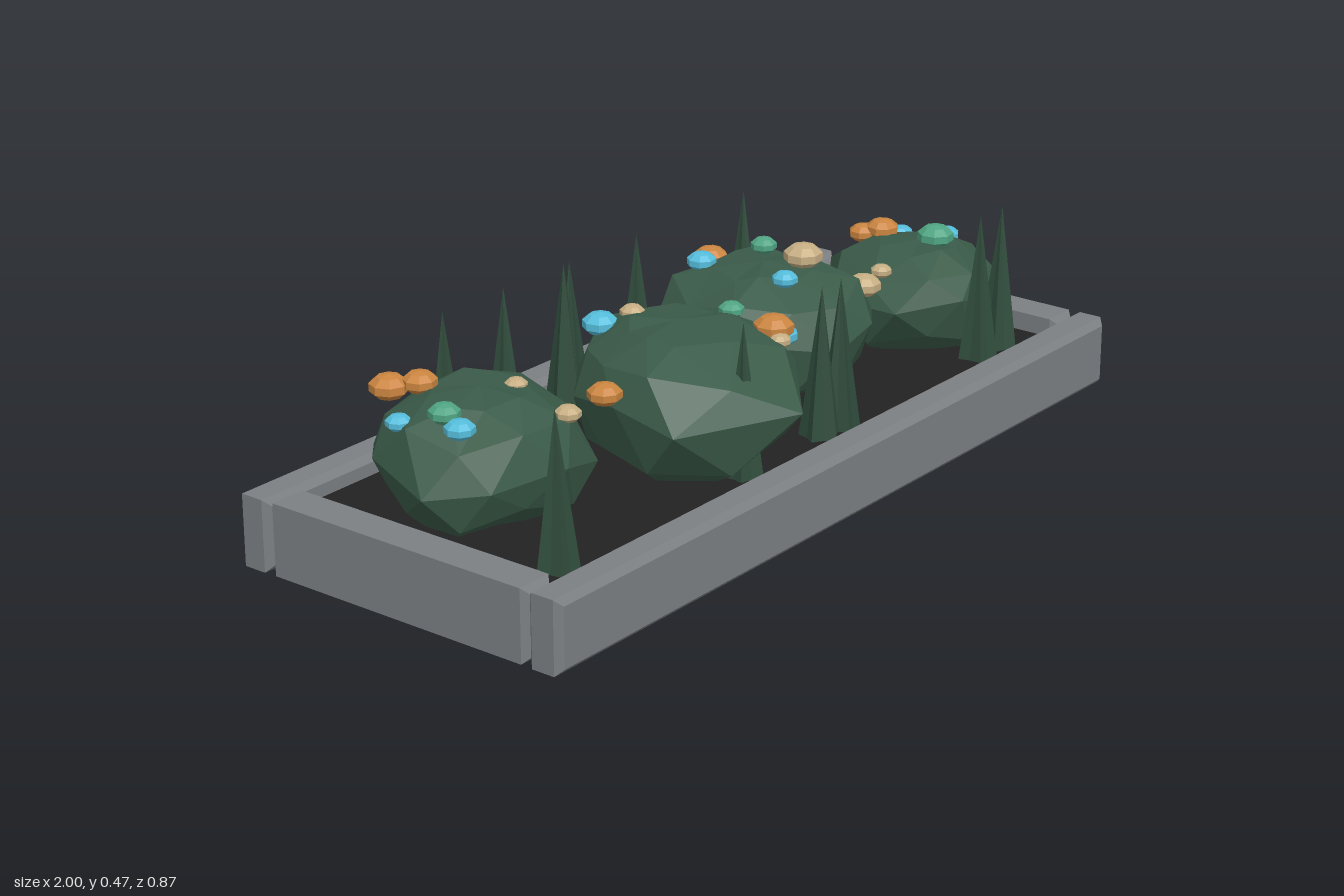
import * as THREE from 'three';

const mat = (name, color) => {
  const m = new THREE.MeshStandardMaterial({ color, flatShading: true });
  m.name = name;
  return m;
};

export function createModel() {
  const stone = mat('stone grey', 0x7b7f82);
  const soilMat = mat('dark soil', 0x222222);
  const leaf = mat('leaf green', 0x3a5a48);
  const blade = mat('dark blade green', 0x304c3c);
  const colours = {
    orange: mat('orange', 0xcb8540),
    blue: mat('sky blue', 0x55bddb),
    green: mat('mint green', 0x50a583),
    tan: mat('tan', 0xc6ae83),
  };

  const root = new THREE.Group();
  root.name = 'planter';
  const add = (geometry, material, name, x = 0, y = 0, z = 0, parent = root) => {
    const mesh = new THREE.Mesh(geometry, material);
    mesh.name = name;
    mesh.position.set(x, y, z);
    parent.add(mesh);
    return mesh;
  };

  // Box with a single chamfer on every edge
  const chamferBox = (w, h, d, b) => {
    const x = w / 2 - b, y = h / 2 - b;
    const shape = new THREE.Shape([[-x, -y], [x, -y], [x, y], [-x, y]].map(p => new THREE.Vector2(...p)));
    return new THREE.ExtrudeGeometry(shape, {
      depth: d - 2 * b, bevelEnabled: true, bevelSegments: 1, bevelSize: b, bevelThickness: b,
    }).translate(0, 0, b - d / 2);
  };

  // Stone border: long rails front and back, short rails at the ends
  const H = 0.164;
  for (const s of [1, -1]) {
    add(chamferBox(2, H, 0.086, 0.015), stone, s > 0 ? 'frontRail' : 'backRail', 0, H / 2, s * 0.393);
    add(chamferBox(0.086, H, 0.7, 0.015), stone, s > 0 ? 'leftRail' : 'rightRail', s * 0.955, H / 2, 0);
  }
  add(new THREE.BoxGeometry(1.83, 0.02, 0.705), soilMat, 'soil', 0, 0.11, 0);

  // Faceted bush: its plan outline is scaled up through staggered rings
  const bushGeometry = (outline, midY, top) => {
    const n = outline.length;
    const cx = outline.reduce((s, p) => s + p[0], 0) / n;
    const cz = outline.reduce((s, p) => s + p[1], 0) / n;
    const rings = [[0.5, 0.085], [0.9, 0.15], [1, midY], [0.88, top - 0.055], [0.46, top - 0.008]];
    const pos = [], index = [];
    rings.forEach(([scale, y], k) => {
      for (let i = 0; i < n; i++) {
        const t = i + k / 2, a = outline[Math.floor(t) % n], b = outline[Math.ceil(t) % n];
        const wobble = 0.018 * Math.sin(i * 2.4 + k * 1.7 + cx * 9) * (k === 4 ? 0.4 : 1);
        pos.push(cx + scale * ((a[0] + b[0]) / 2 - cx), y + wobble, cz + scale * ((a[1] + b[1]) / 2 - cz));
      }
    });
    const last = rings.length - 1, bottom = n * rings.length, crown = bottom + 1;
    pos.push(cx, 0.07, cz, cx, top, cz);
    for (let i = 0; i < n; i++) {
      const j = (i + 1) % n;
      for (let k = 0; k < last; k++) {
        const a = k * n, b = a + n;
        index.push(a + i, b + i, a + j, a + j, b + i, b + j);
      }
      index.push(bottom, i, j, crown, last * n + j, last * n + i);
    }
    const g = new THREE.BufferGeometry();
    g.setAttribute('position', new THREE.Float32BufferAttribute(pos, 3));
    g.setIndex(index);
    const flat = g.toNonIndexed();
    flat.computeVertexNormals();
    return flat;
  };

  const bushes = [
    [[[-0.72, -0.31], [-0.51, -0.29], [-0.47, -0.2], [-0.4, -0.06], [-0.5, 0.12], [-0.63, 0.15],
      [-0.8, 0.09], [-0.9, -0.01], [-0.84, -0.2]], 0.23, 0.375],
    [[[-0.07, -0.21], [0.09, -0.13], [0.11, 0.08], [0.08, 0.2], [-0.15, 0.39], [-0.4, 0.24],
      [-0.4, 0.08], [-0.34, -0.08], [-0.23, -0.16]], 0.27, 0.405],
    [[[0.07, -0.05], [0.14, -0.24], [0.25, -0.3], [0.42, -0.32], [0.53, -0.24], [0.56, -0.13],
      [0.54, 0.08], [0.4, 0.18], [0.27, 0.18], [0.13, 0.05]], 0.25, 0.382],
    [[[0.74, -0.18], [0.89, -0.09], [0.92, 0.06], [0.9, 0.2], [0.8, 0.25], [0.68, 0.24],
      [0.55, 0.14], [0.56, -0.05]], 0.24, 0.352],
  ];
  bushes.forEach(b => add(bushGeometry(...b), leaf, 'bush'));

  // Spiky grass: open cones with a star-shaped base
  const spike = new THREE.ConeGeometry(0.052, 0.375, 10, 1, true);
  const sp = spike.attributes.position;
  for (let i = 11; i < sp.count; i++) {
    if (i % 2) sp.setXYZ(i, sp.getX(i) * 0.72, sp.getY(i), sp.getZ(i) * 0.72);
  }
  spike.computeVertexNormals();
  const spikes = new THREE.Group();
  spikes.name = 'spikyGrass';
  root.add(spikes);
  const rows = [[0.27, [-0.81, -0.2, 0.08, 0.15, 0.7, 0.79]], [-0.27, [-0.54, -0.345, -0.145, -0.125, 0.11, 0.51]]];
  for (const [z, xs] of rows) {
    xs.forEach((x, i) => { add(spike, blade, 'spike', x, 0.278, z, spikes).rotation.y = i * 0.9; });
  }

  // Blossoms: squashed faceted beads, listed as x, y, z, radius
  const blossoms = {
    orange: [[-0.73, 0.36, -0.25, 0.045], [-0.69, 0.37, -0.2, 0.04], [-0.41, 0.32, 0.065, 0.04],
      [0, 0.38, 0.2, 0.047], [0.41, 0.325, -0.29, 0.042], [0.5, 0.315, -0.235, 0.03],
      [0.74, 0.34, -0.085, 0.036], [0.76, 0.353, -0.045, 0.04]],
    blue: [[-0.82, 0.335, -0.14, 0.03], [-0.79, 0.345, 0, 0.035], [-0.2, 0.375, -0.12, 0.042],
      [0.26, 0.375, -0.2, 0.036], [0.27, 0.378, 0.03, 0.031], [0.07, 0.335, 0.17, 0.038],
      [0.86, 0.312, -0.06, 0.031], [0.86, 0.335, 0.07, 0.033]],
    green: [[-0.78, 0.365, -0.05, 0.036], [0, 0.395, 0.085, 0.03], [0.39, 0.395, -0.12, 0.032],
      [0.77, 0.362, 0.1, 0.045]],
    tan: [[-0.57, 0.365, -0.04, 0.026], [-0.57, 0.335, 0.1, 0.03], [-0.145, 0.395, -0.075, 0.029],
      [0.38, 0.398, 0, 0.047], [0.48, 0.32, 0.1, 0.042], [0.585, 0.32, 0.075, 0.026],
      [-0.025, 0.365, 0.235, 0.026]],
  };
  const bead = new THREE.SphereGeometry(1, 8, 5);
  for (const [colour, list] of Object.entries(blossoms)) {
    const group = new THREE.Group();
    group.name = colour + 'Blossoms';
    root.add(group);
    list.forEach(([x, y, z, r], i) => {
      const m = add(bead, colours[colour], 'blossom', x, y, z, group);
      m.scale.set(r, r * 0.62, r);
      m.rotation.y = i * 0.7;
    });
  }
  return root;
}
